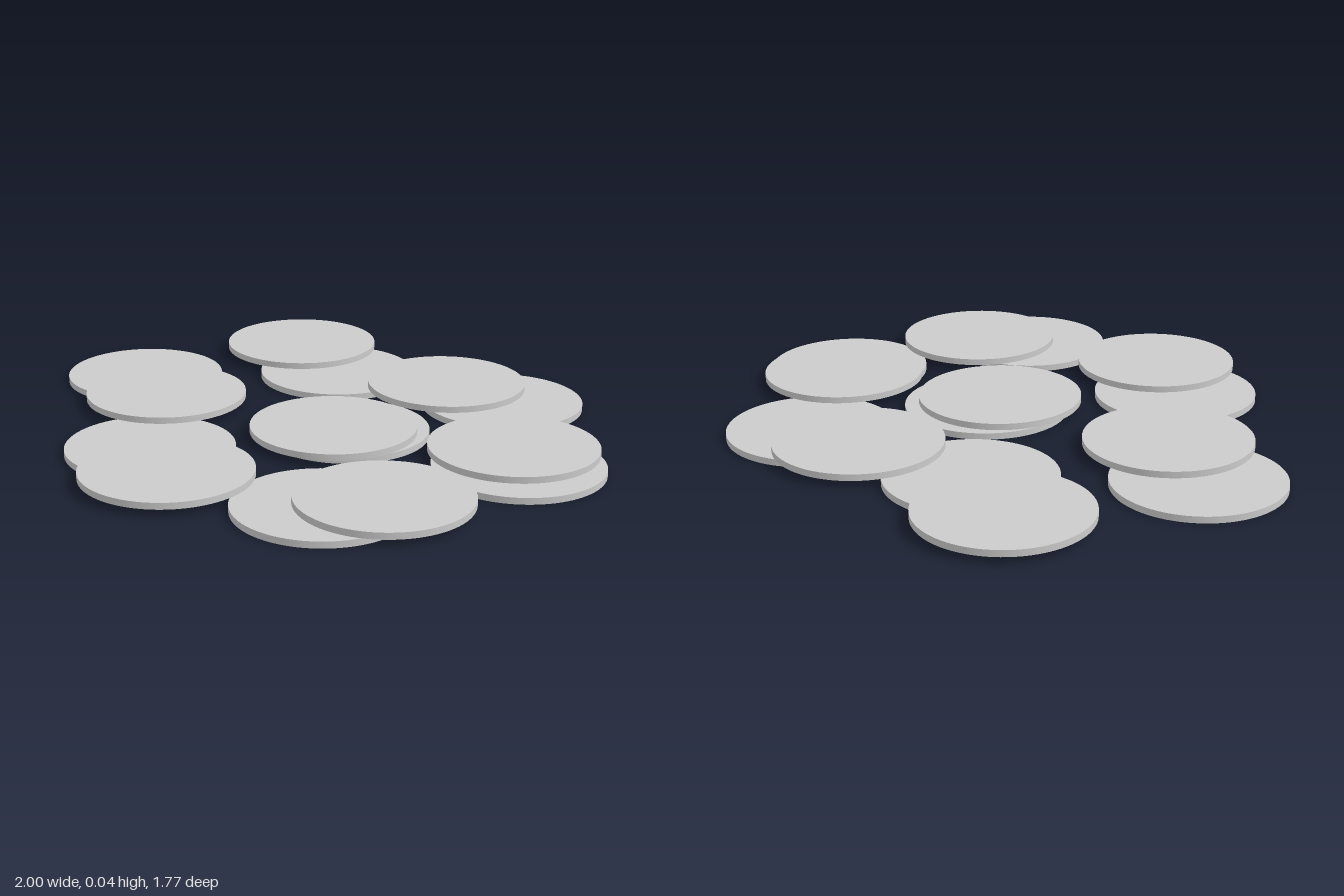
import * as THREE from 'three';

const RADIUS = 0.267;
const THICKNESS = 0.021;
const LAYER_STEP = 0.0215;

// Disc centres [x, z] for each layer
const LOWER = [[-0.28, -0.457], [0.33, -0.62], [0.733, -0.2], [0.143, -0.06], [0.523, 0.44], [-0.175, 0.49], [-0.733, 0.04]];
const UPPER = [[-0.56, -0.56], [0.11, -0.59], [0.655, -0.273], [0.135, -0.01], [0.643, 0.305], [0.045, 0.612], [-0.487, 0.155]];

export function createModel() {
  const model = new THREE.Group();
  model.name = 'discs';
  const material = new THREE.MeshStandardMaterial({ color: 0xcccccc });
  const geometry = new THREE.CylinderGeometry(RADIUS, RADIUS, THICKNESS, 96);

  // Two overlapping layers of flat round discs
  [['lowerDisc', LOWER], ['upperDisc', UPPER]].forEach(([name, centres], layer) => {
    centres.forEach(([x, z], i) => {
      const disc = new THREE.Mesh(geometry, material);
      disc.name = `${name}${i + 1}`;
      disc.position.set(x, layer * LAYER_STEP + THICKNESS / 2, z);
      model.add(disc);
    });
  });
  return model;
}
